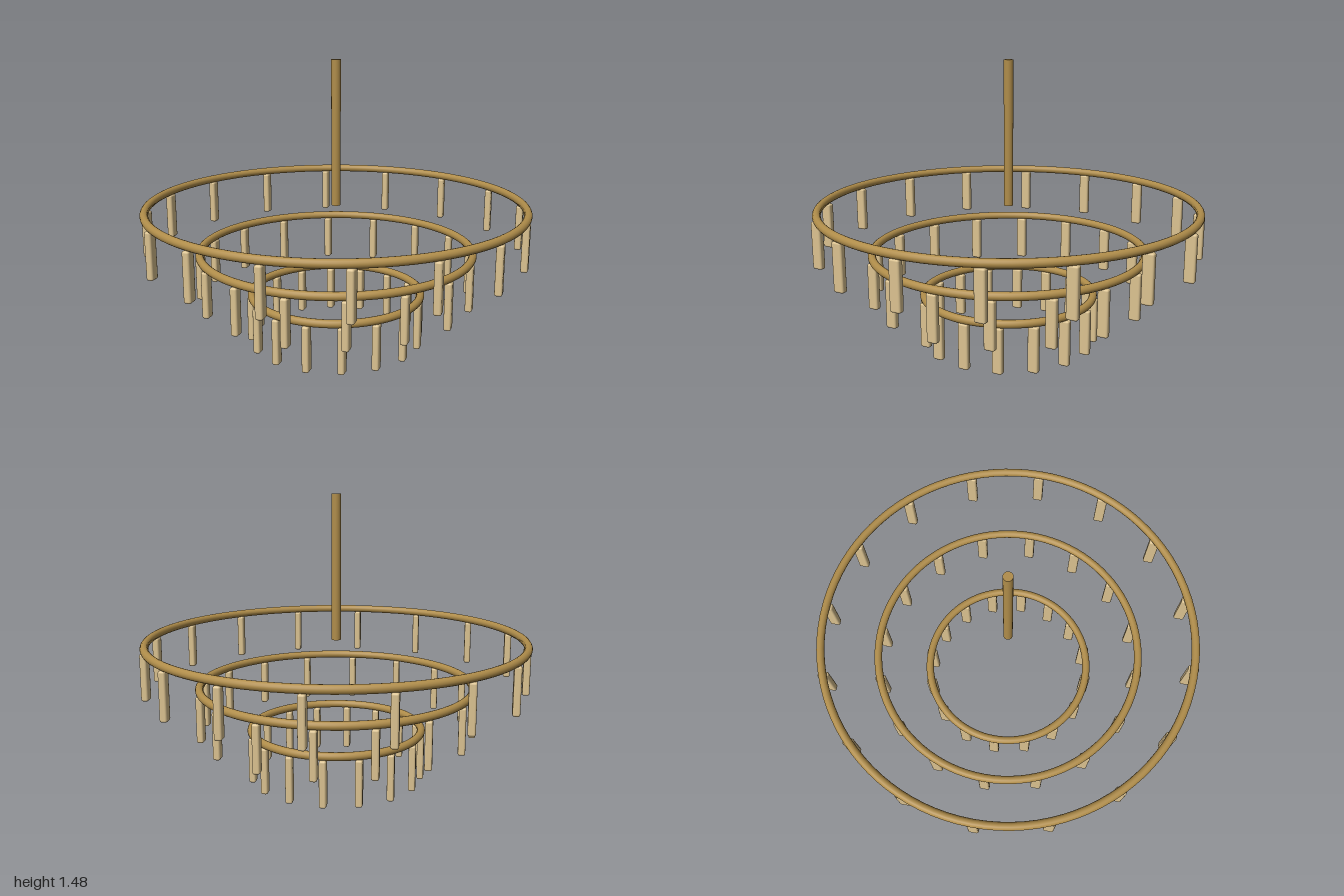
import * as THREE from 'three';
import { RoundedBoxGeometry } from 'three/addons/geometries/RoundedBoxGeometry.js';

export function createModel() {
  const model = new THREE.Group();
  model.name = 'chandelier';
  const brass = new THREE.MeshStandardMaterial({ color: 0xb08d4a });
  const glow = new THREE.MeshStandardMaterial({ color: 0xdcc391 });

  // Ceiling rod, ending level with the top ring
  const rod = new THREE.Mesh(new THREE.CylinderGeometry(0.024, 0.024, 0.745, 24), brass);
  rod.name = 'rod';
  rod.position.y = 1.107;
  model.add(rod);

  // Pendants all share one orientation, broader along z
  const pendantGeometry = new RoundedBoxGeometry(0.036, 0.24, 0.055, 2, 0.01);
  const pendantCount = 16;

  // Three rings, narrowing downwards, each hung with pendants
  const tiers = [
    { name: 'topTier', radius: 0.972, y: 0.733 },
    { name: 'middleTier', radius: 0.709, y: 0.495 },
    { name: 'bottomTier', radius: 0.447, y: 0.257 },
  ];
  for (const { name, radius, y } of tiers) {
    const tier = new THREE.Group();
    tier.name = name;
    tier.position.y = y;

    const ring = new THREE.Mesh(new THREE.TorusGeometry(radius, 0.021, 16, 96), brass);
    ring.name = 'ring';
    ring.rotation.x = Math.PI / 2;
    tier.add(ring);

    for (let i = 0; i < pendantCount; i++) {
      const angle = (i / pendantCount) * Math.PI * 2;
      const pendant = new THREE.Mesh(pendantGeometry, glow);
      pendant.name = 'pendant';
      pendant.position.set(Math.cos(angle) * radius, -0.137, Math.sin(angle) * radius);
      tier.add(pendant);
    }
    model.add(tier);
  }
  return model;
}
